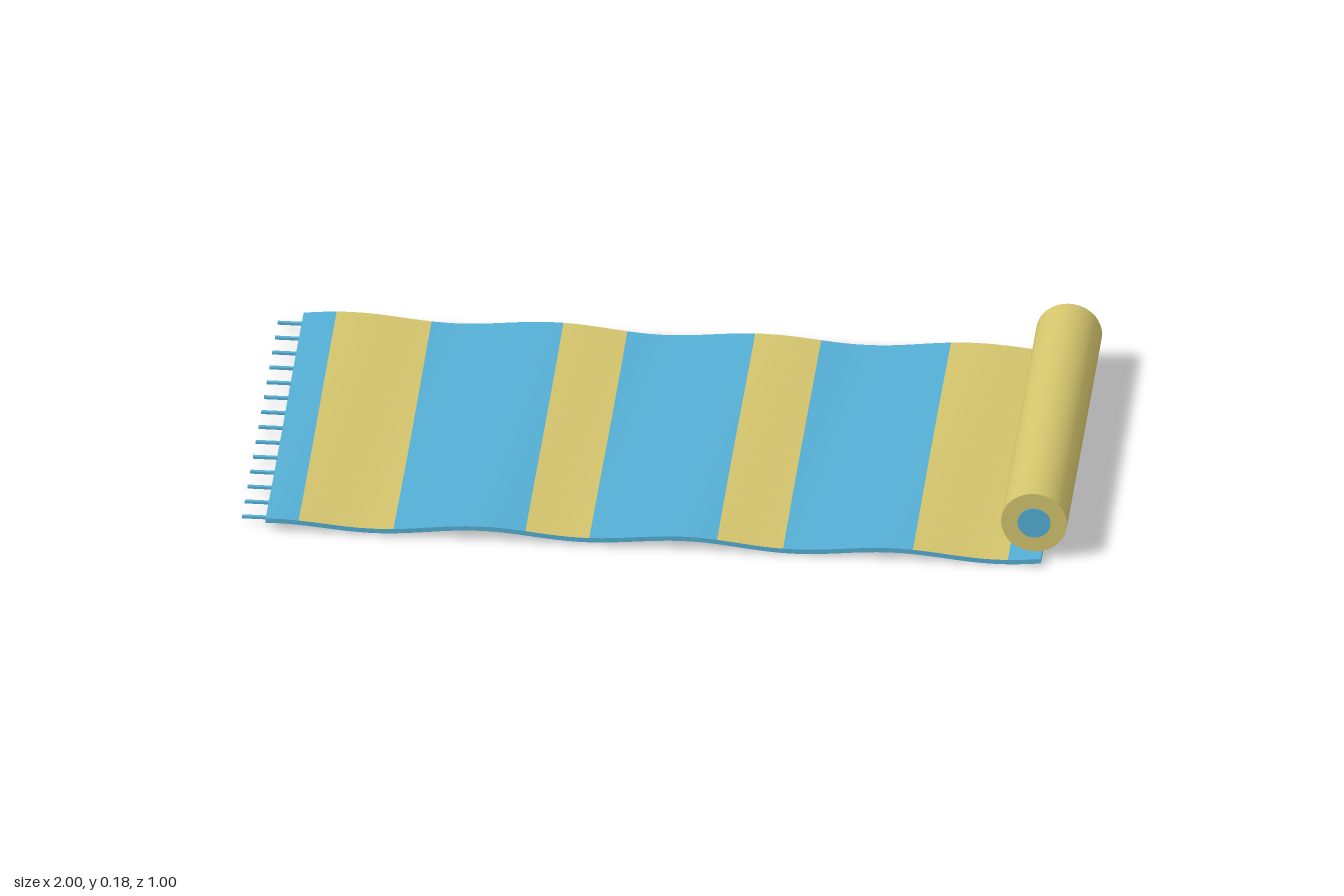
import * as THREE from 'three';

const THICKNESS = 0.012;

// Gentle diagonal ripple of the cloth
function ripple(x, z) {
  return 0.022 + 0.009 * Math.cos(12.5 * (x - 0.13) + 1.2 * z) + 0.004 * Math.sin(5 * z + 3 * x);
}

export function createModel() {
  const model = new THREE.Group();
  const blue = new THREE.MeshStandardMaterial({ name: 'blue cloth', color: 0x54aed4 });
  const yellow = new THREE.MeshStandardMaterial({ name: 'yellow cloth', color: 0xd3c46c });

  const add = (parent, name, geometry, material, x = 0, y = 0, z = 0) => {
    const mesh = new THREE.Mesh(geometry, material);
    mesh.name = name;
    mesh.position.set(x, y, z);
    parent.add(mesh);
    return mesh;
  };

  // Cloth: alternating stripes, all bent by the same ripple, with blue edges
  const cloth = new THREE.Group();
  cloth.name = 'cloth';
  model.add(cloth);
  const bounds = [-0.94, -0.86, -0.63, -0.31, -0.155, 0.155, 0.315, 0.63, 0.86, 0.94];
  for (let i = 0; i < bounds.length - 1; i++) {
    const x0 = bounds[i], width = bounds[i + 1] - x0;
    const geometry = new THREE.BoxGeometry(width, THICKNESS, 1, Math.ceil(width / 0.03), 1, 28);
    geometry.translate(x0 + width / 2, 0, 0);
    const p = geometry.attributes.position;
    for (let j = 0; j < p.count; j++) p.setY(j, p.getY(j) + ripple(p.getX(j), p.getZ(j)));
    geometry.computeVertexNormals();
    const face = i % 2 ? yellow : blue;
    add(cloth, i % 2 ? 'yellowStripe' : 'blueStripe', geometry, [blue, blue, face, face, blue, blue]);
  }

  // Fringe strands along the left end of the cloth
  const fringe = new THREE.Group();
  fringe.name = 'fringe';
  model.add(fringe);
  const strand = new THREE.BoxGeometry(0.065, 0.006, 0.009);
  for (let i = 0; i < 14; i++) {
    add(fringe, 'strand', strand, blue, -0.9675, 0.02, -0.468 + i * 0.072);
  }

  // Rolled end with a blue core showing at both ends
  const roll = new THREE.Group();
  roll.name = 'roll';
  roll.position.set(0.92, 0.1, 0);
  model.add(roll);
  add(roll, 'rolledCloth', new THREE.CylinderGeometry(0.08, 0.08, 0.92, 40).rotateX(Math.PI / 2), yellow);
  add(roll, 'rollCore', new THREE.CylinderGeometry(0.04, 0.04, 0.926, 28).rotateX(Math.PI / 2), blue);

  return model;
}
